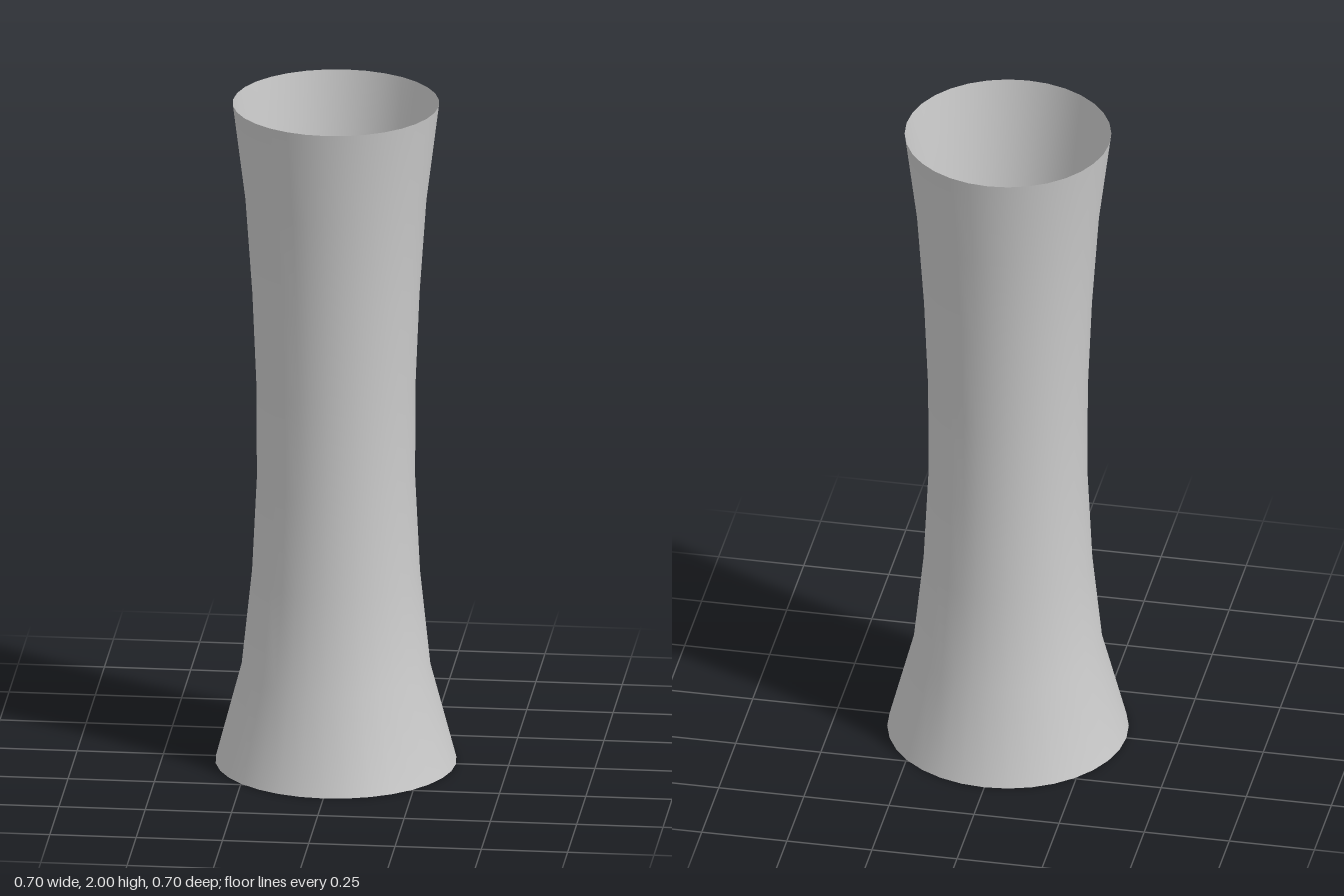
import * as THREE from 'three';

export function createModel() {
  const group = new THREE.Group();
  group.name = 'flaredTube';

  // Radii of evenly spaced rings, from the wide foot past the waist to the rim
  const radii = [0.348, 0.273, 0.243, 0.229, 0.23, 0.242, 0.262, 0.298];
  const height = 2;
  const profile = radii.map((r, i) => new THREE.Vector2(r, (height * i) / (radii.length - 1)));

  // Thin wall, open at both ends
  const wall = new THREE.Mesh(
    new THREE.LatheGeometry(profile, 32),
    new THREE.MeshStandardMaterial({ color: 0xcccccc, side: THREE.DoubleSide })
  );
  wall.name = 'tubeWall';
  group.add(wall);

  return group;
}
